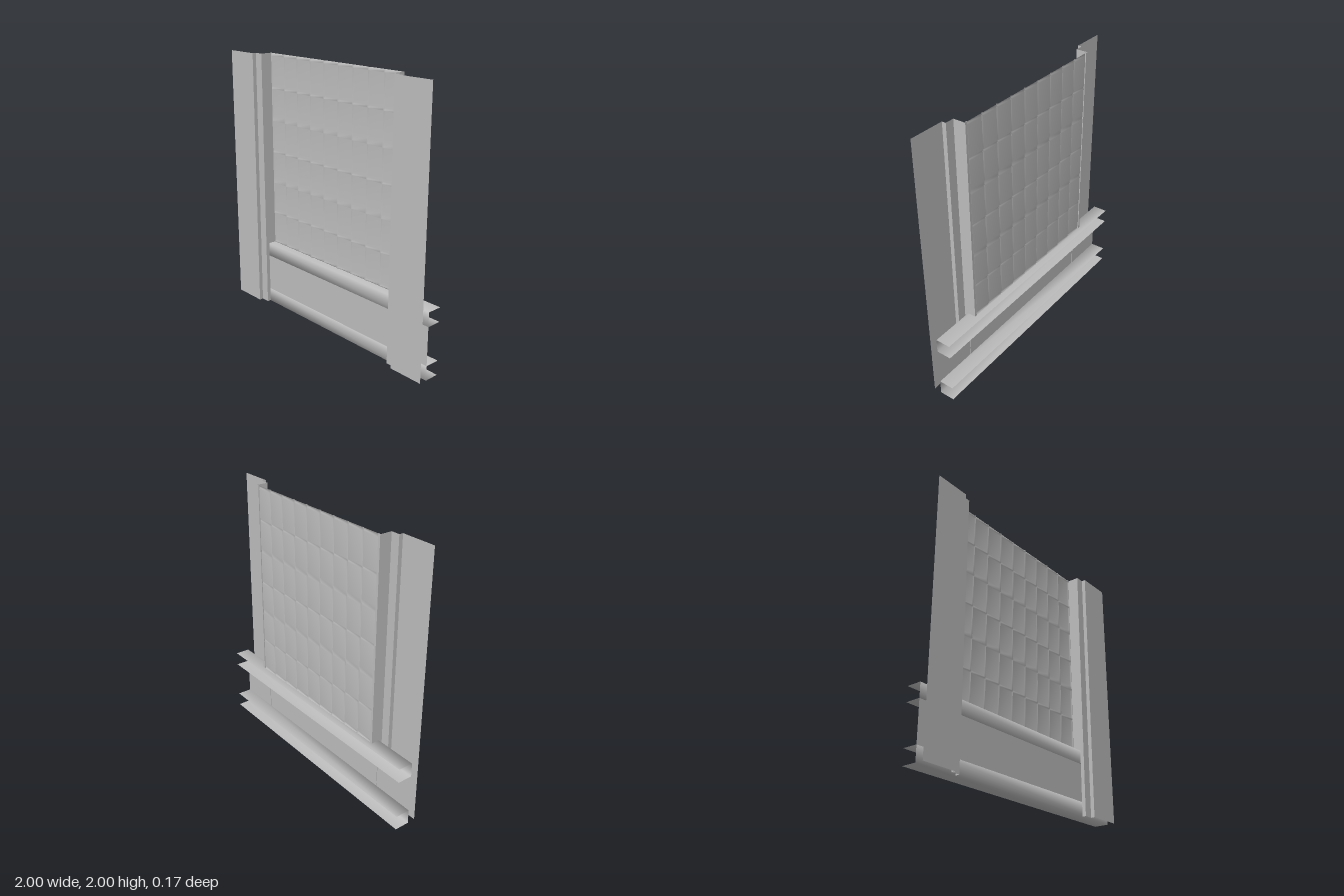
import * as THREE from 'three';

const steel = new THREE.MeshStandardMaterial({ color: 0xbcbcbc, side: THREE.DoubleSide });
steel.name = 'grey steel';

// Sweep an open profile between two stations; place() turns (point, station) into xyz.
function sweep(profile, from, to, place, smooth) {
  const pos = [], idx = [];
  for (const p of profile) pos.push(...place(p, from), ...place(p, to));
  for (let i = 0; i < profile.length - 1; i++) {
    const a = i * 2;
    idx.push(a, a + 1, a + 2, a + 1, a + 3, a + 2);
  }
  let geo = new THREE.BufferGeometry();
  geo.setAttribute('position', new THREE.Float32BufferAttribute(pos, 3));
  geo.setIndex(idx);
  if (!smooth) geo = geo.toNonIndexed();
  geo.computeVertexNormals();
  return geo;
}

// Embossed sheet: shallow ribs follow a regular grid of seams.
function tiledSheet() {
  const cols = 9, rows = 6, x0 = -0.651, x1 = 0.651, y0 = 0.51, y1 = 1.985;
  const xs = [], ys = [[0.5, 0]];
  for (let i = 0; i <= cols; i++) {
    const x = x0 + (x1 - x0) * i / cols;
    if (i > 0) xs.push([x - 0.008, 0]);
    xs.push([x, 1]);
    if (i < cols) xs.push([x + 0.008, 0]);
  }
  for (let j = 0; j <= rows; j++) {
    const y = y0 + (y1 - y0) * j / rows;
    const above = j === 2 || j === 4 ? 0.035 : 0.013; // wider lap at sheet joints
    if (j > 0) ys.push([y - 0.009, 0]);
    ys.push([y, 1]);
    ys.push([j < rows ? y + above : 2, 0]);
  }
  const geo = new THREE.PlaneGeometry(1, 1, xs.length - 1, ys.length - 1);
  const pos = geo.attributes.position;
  for (let j = 0; j < ys.length; j++) {
    for (let i = 0; i < xs.length; i++) {
      const [x, rx] = xs[i], [y, ry] = ys[ys.length - 1 - j];
      pos.setXYZ(j * xs.length + i, x, y, -0.034 + 0.008 * Math.max(rx, ry));
    }
  }
  geo.computeVertexNormals();
  return geo;
}

export function createModel() {
  const model = new THREE.Group();
  model.name = 'wallPanel';
  const add = (parent, name, geo) => {
    const mesh = new THREE.Mesh(geo, steel);
    mesh.name = name;
    parent.add(mesh);
  };

  add(model, 'tiledSheet', tiledSheet());

  // Side frames: stepped folded sheets, mirrored, with a short hooked jamb above the beam
  for (const [side, s] of [['left', 1], ['right', -1]]) {
    const frame = new THREE.Group();
    frame.name = side + 'Frame';
    const place = ([x, z], y) => [s * x, y, z];
    const column = [[1, 0.085], [0.735, 0.085], [0.735, 0.055], [0.668, 0.055], [0.668, 0.022]];
    const jamb = [[0.668, 0.022], [0.668, -0.036], [0.65, -0.036], [0.65, -0.028], [0.658, -0.028]];
    add(frame, 'column', sweep(column, 0, 2, place));
    add(frame, 'jamb', sweep(jamb, 0.5, 2, place));
    model.add(frame);
  }

  // Base beam: two soft-shaded channels opening backwards, joined by a flat web
  const beam = new THREE.Group();
  beam.name = 'baseBeam';
  const along = ([z, y], x) => [x, y, z];
  const front = 0.026, back = -0.085;
  for (const [name, top, bottom] of [['upperChannel', 0.5, 0.395], ['lowerChannel', 0.108, 0]]) {
    const profile = [[back, bottom], [front, bottom], [front, top], [back, top]];
    add(beam, name, sweep(profile, -1, 1, along, true));
  }
  add(beam, 'web', sweep([[front, 0.108], [front, 0.395]], -1, 1, along));
  model.add(beam);

  return model;
}
